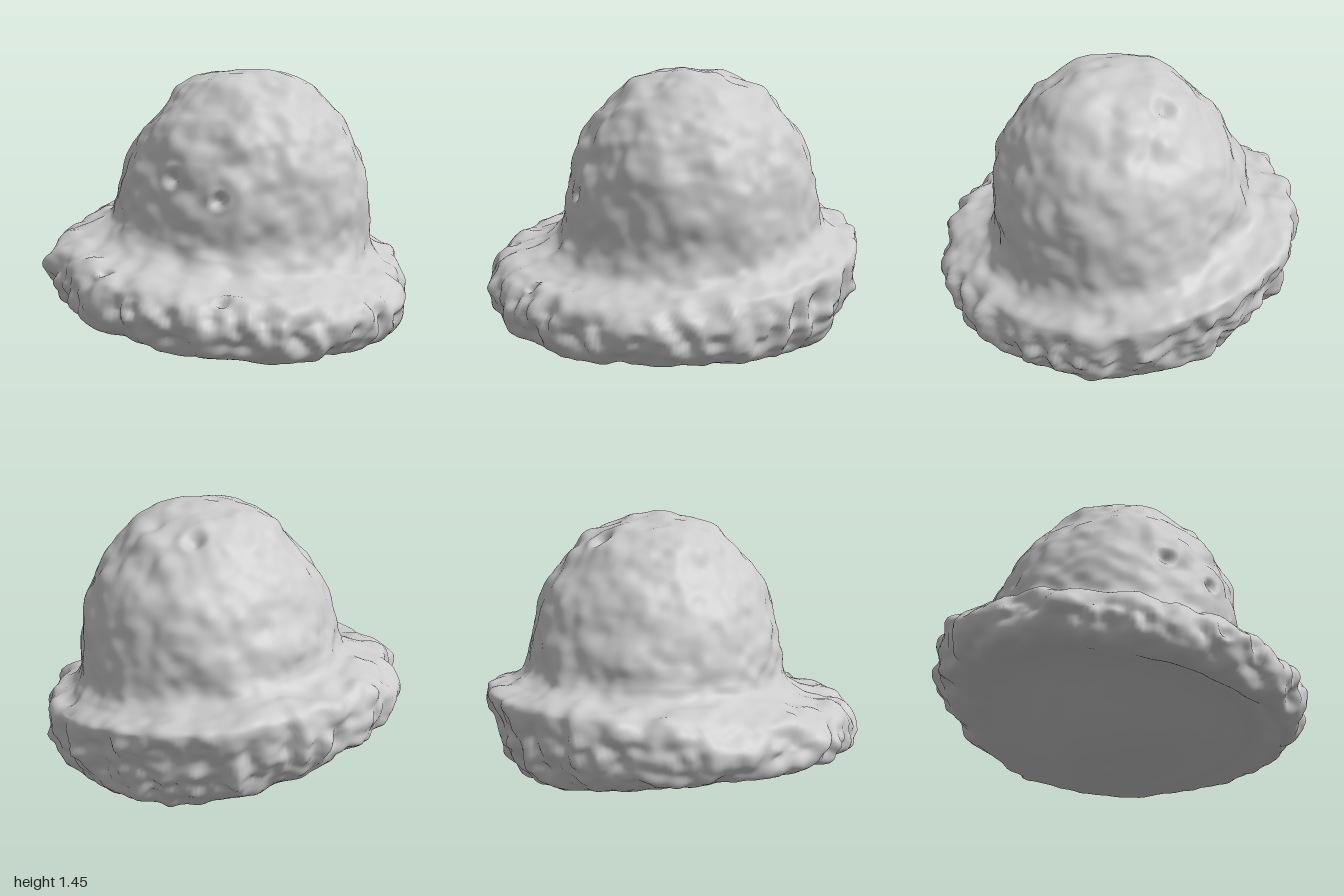
import * as THREE from 'three';

const AROUND = 256, STEPS = 14;

// Half profiles from underside centre to crown top, as [distance, height] towards each side
const curve = (pts) => new THREE.CatmullRomCurve3(
  pts.map(([d, y]) => new THREE.Vector3(d, y, 0)), false, 'catmullrom', 0.5);
const east = curve([[0.10, 0.005], [0.40, 0.035], [0.67, 0.10], [0.84, 0.085], [0.91, 0.17], [0.93, 0.29], [0.88, 0.385],
  [0.77, 0.45], [0.72, 0.56], [0.715, 0.74], [0.695, 0.93], [0.64, 1.08], [0.545, 1.225], [0.415, 1.35], [0.23, 1.43], [0.03, 1.455]]);
const west = curve([[0.10, 0.005], [-0.22, 0.07], [-0.62, 0.27], [-0.82, 0.33], [-0.90, 0.39], [-0.925, 0.51], [-0.86, 0.635],
  [-0.68, 0.69], [-0.625, 0.76], [-0.605, 0.85], [-0.565, 0.95], [-0.505, 1.08], [-0.415, 1.215], [-0.29, 1.34], [-0.14, 1.425], [0.03, 1.455]]);
const south = curve([[-0.16, 0.005], [0.28, 0.05], [0.68, 0.20], [0.86, 0.145], [0.95, 0.21], [0.975, 0.32], [0.91, 0.43],
  [0.70, 0.49], [0.61, 0.575], [0.595, 0.75], [0.565, 0.93], [0.505, 1.08], [0.415, 1.225], [0.29, 1.35], [0.14, 1.43], [-0.03, 1.455]]);
const north = curve([[-0.16, 0.005], [-0.41, 0.03], [-0.64, 0.08], [-0.78, 0.12], [-0.88, 0.25], [-0.93, 0.43], [-0.97, 0.60],
  [-0.83, 0.635], [-0.76, 0.68], [-0.73, 0.80], [-0.70, 0.93], [-0.64, 1.08], [-0.54, 1.225], [-0.41, 1.35], [-0.22, 1.43], [-0.03, 1.455]]);
const SPANS = 15, ROWS = SPANS * STEPS;

// Repeatable lumpy noise in the range -1 to 1
function hash(x, y, z) {
  let h = Math.imul(x, 374761393) ^ Math.imul(y, 668265263) ^ Math.imul(z, 1274126177);
  h = Math.imul(h ^ (h >>> 13), 1103515245);
  return ((h ^ (h >>> 16)) >>> 0) / 2147483648 - 1;
}
function noise(x, y, z) {
  const i = Math.floor(x), j = Math.floor(y), k = Math.floor(z);
  const s = (t) => t * t * (3 - 2 * t);
  const u = s(x - i), v = s(y - j), w = s(z - k);
  let sum = 0;
  for (let a = 0; a < 2; a++) for (let b = 0; b < 2; b++) for (let c = 0; c < 2; c++)
    sum += hash(i + a, j + b, k + c) * (a ? u : 1 - u) * (b ? v : 1 - v) * (c ? w : 1 - w);
  return sum;
}

// Small round craters: position and radius
const pits = [[-0.10, 0.93, 0.55, 0.06], [0.17, 0.83, 0.57, 0.05], [0.02, 1.36, -0.36, 0.07],
  [-0.12, 0.34, 0.96, 0.05], [0.30, 0.40, 0.84, 0.045], [-0.33, 0.50, 0.82, 0.045]]
  .map(([x, y, z, r]) => ({ at: new THREE.Vector3(x, y, z), r }));

// Roughness: smooth underside, fluted ragged rim, softly lumpy crown
function roughness(t) {
  const s = t * SPANS;
  return {
    rim: Math.exp(-(((s - 4.6) / 1.3) ** 2)),
    lump: 0.003 + 0.017 * THREE.MathUtils.smoothstep(s, 2, 4),
  };
}

// Blends the four side profiles into one ring point; heights follow a tilted plane
function pointAt(e, w, s, n, angle) {
  const c = Math.cos(angle), d = Math.sin(angle);
  return new THREE.Vector3(
    (e.x + w.x) / 2 + c * (e.x - w.x) / 2,
    (e.y + w.y + s.y + n.y) / 4 + c * (e.y - w.y) / 2 + d * (s.y - n.y) / 2
      + (c * c - d * d) * (e.y + w.y - s.y - n.y) / 4,
    (s.x + n.x) / 2 + d * (s.x - n.x) / 2);
}

function buildSkin() {
  const positions = [], index = [];
  for (let r = 0; r <= ROWS; r++) {
    const ends = [east, west, south, north].map((k) => k.getPoint(r / ROWS));
    for (let i = 0; i < AROUND; i++) positions.push(...pointAt(...ends, i / AROUND * Math.PI * 2).toArray());
  }
  for (let r = 0; r < ROWS; r++) for (let i = 0; i < AROUND; i++) {
    const a = r * AROUND + i, b = r * AROUND + (i + 1) % AROUND;
    index.push(a, a + AROUND, b, b, a + AROUND, b + AROUND);
  }
  const geo = new THREE.BufferGeometry();
  geo.setAttribute('position', new THREE.Float32BufferAttribute(positions, 3));
  geo.setIndex(index);
  geo.computeVertexNormals();

  // Push the skin in and out along its normals
  const pos = geo.attributes.position, nor = geo.attributes.normal;
  const p = new THREE.Vector3(), n = new THREE.Vector3();
  for (let v = 0; v < pos.count; v++) {
    const r = Math.floor(v / AROUND), { lump, rim } = roughness(r / ROWS);
    p.fromBufferAttribute(pos, v);
    n.fromBufferAttribute(nor, v);
    if (r === 0) n.set(0, -1, 0);
    if (r === ROWS) n.set(0, 1, 0);
    let push = lump * (noise(p.x * 8 + 20, p.y * 8, p.z * 8) + 0.5 * noise(p.x * 15, p.y * 15 + 9, p.z * 15));
    push += rim * (0.042 * noise(p.x * 14 + 5, p.y * 6, p.z * 14) + 0.02 * noise(p.x * 18, p.y * 18, p.z * 18 + 3));
    for (const pit of pits) {
      const q = p.distanceTo(pit.at) / pit.r;
      push += 0.006 * Math.exp(-(((q - 1) / 0.35) ** 2)) - 0.04 * Math.exp(-((q / 0.6) ** 2));
    }
    p.addScaledVector(n, push);
    pos.setXYZ(v, p.x, p.y, p.z);
  }
  geo.computeVertexNormals();
  // Both poles get clean normals
  for (let i = 0; i < AROUND; i++) {
    nor.setXYZ(i, 0, -1, 0);
    nor.setXYZ(ROWS * AROUND + i, 0, 1, 0);
  }
  // Rest the lowest point on the floor
  geo.computeBoundingBox();
  return geo.translate(0, -geo.boundingBox.min.y, 0);
}

export function createModel() {
  const group = new THREE.Group();
  const skin = buildSkin();
  const material = new THREE.MeshStandardMaterial({ color: 0xcccccc });
  // Parts share one continuous skin, split by bands of rings
  const bands = [['underside', 0, 3], ['brim', 3, 8], ['crown', 8, SPANS]];
  for (const [name, from, to] of bands) {
    const geo = new THREE.BufferGeometry();
    const [start, end] = [from, to].map((s) => s * STEPS * AROUND);
    for (const key of ['position', 'normal']) {
      const part = skin.attributes[key].array.slice(start * 3, (end + AROUND) * 3);
      geo.setAttribute(key, new THREE.BufferAttribute(part, 3));
    }
    geo.setIndex(Array.from(skin.index.array.slice(start * 6, end * 6), (v) => v - start));
    const mesh = new THREE.Mesh(geo, material);
    mesh.name = name;
    group.add(mesh);
  }
  return group;
}
